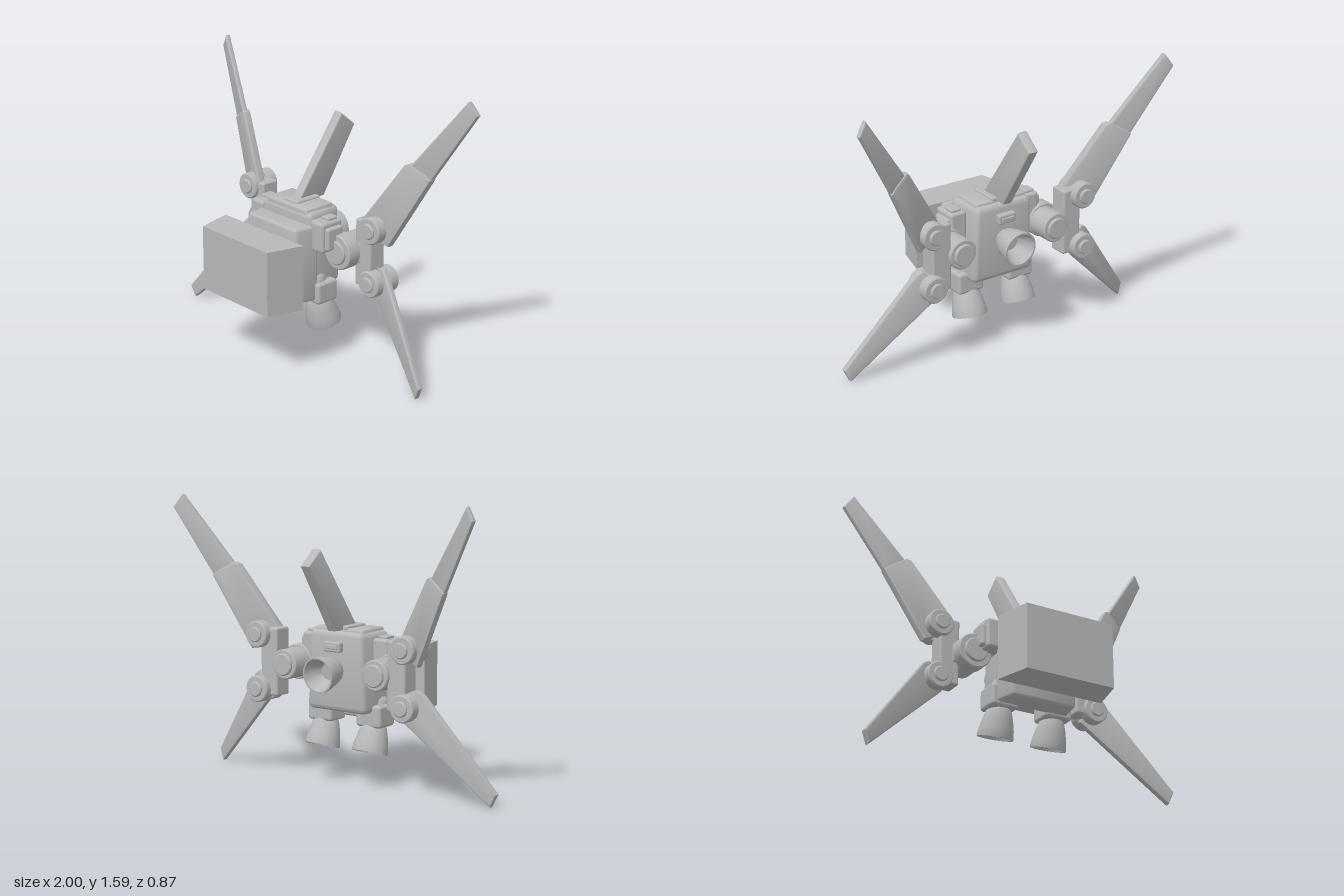
import * as THREE from 'three';
import { toCreasedNormals } from 'three/addons/utils/BufferGeometryUtils.js';
import { RoundedBoxGeometry } from 'three/addons/geometries/RoundedBoxGeometry.js';

const grey = new THREE.MeshStandardMaterial({ color: 0xb8b8b8, side: THREE.DoubleSide });
grey.name = 'light grey';

function add(parent, name, geo, x = 0, y = 0, z = 0) {
  const mesh = new THREE.Mesh(geo, grey);
  mesh.name = name;
  mesh.position.set(x, y, z);
  parent.add(mesh);
  return mesh;
}

// Move every vertex by a rule, then rebuild normals with sharp edges.
function reshape(geo, rule, crease = 0.5) {
  const p = geo.attributes.position;
  const v = new THREE.Vector3();
  for (let i = 0; i < p.count; i++) {
    rule(v.fromBufferAttribute(p, i));
    p.setXYZ(i, v.x, v.y, v.z);
  }
  return toCreasedNormals(geo, crease);
}

// Rounded block given by its limits.
function block(parent, name, [x0, x1], [y0, y1], [z0, z1], r = 0.015, rule) {
  let geo = new RoundedBoxGeometry(Math.abs(x1 - x0), y1 - y0, z1 - z0, 3, r);
  if (rule) geo = reshape(geo, rule);
  return add(parent, name, geo, (x0 + x1) / 2, (y0 + y1) / 2, (z0 + z1) / 2);
}

// Round disc along z with softened rims.
function disc(parent, name, x, y, z0, z1, r, bevel = 0.006) {
  const h = z1 - z0;
  const pts = [[0, 0], [r - bevel, 0], [r, bevel], [r, h - bevel], [r - bevel, h], [0, h]]
    .map(p => new THREE.Vector2(...p));
  const geo = toCreasedNormals(new THREE.LatheGeometry(pts, 40), 0.5);
  geo.rotateX(Math.PI / 2);
  return add(parent, name, geo, x, y, z0);
}

// Flat blade drawn from the front, swept in depth by a slope along x.
function blade(parent, name, s, outline, thick, z0, slope) {
  const shape = new THREE.Shape(outline.map(([x, y]) => new THREE.Vector2(s * x, y)));
  const b = 0.01;
  const geo = new THREE.ExtrudeGeometry(shape, {
    depth: thick - 2 * b, bevelThickness: b, bevelSize: b, bevelOffset: -b, bevelSegments: 2,
  });
  geo.translate(0, 0, b - thick / 2);
  return add(parent, name, reshape(geo, v => { v.z += z0 + slope * Math.abs(v.x); }, 0.4));
}

// Hollow engine bell: the rim is at y = 0 and the neck is above it.
function nozzle(parent, name, x, y, z, tilt, len) {
  const pts = [[0, 0.6], [0.045, 0.6], [0.078, 0.25], [0.09, 0], [0.099, 0], [0.1, 0.06], [0.094, 0.3],
    [0.082, 0.62], [0.07, 0.85], [0.055, 1], [0, 1]].map(([r, h]) => new THREE.Vector2(r, h * len));
  const mesh = add(parent, name, toCreasedNormals(new THREE.LatheGeometry(pts, 40), 0.6), x, y, z);
  mesh.rotation.x = tilt;
}

export function createModel() {
  const model = new THREE.Group();
  model.name = 'wingedBackpack';

  // Separate mounting block in front, narrower towards +z
  const mount = new THREE.BoxGeometry(0.64, 0.37, 0.21).toNonIndexed();
  add(model, 'mountingBlock', reshape(mount, v => { if (v.z > 0) v.x *= 0.83; }), 0, 0.58, 0.33);

  // Torso
  const body = new THREE.Group();
  body.name = 'body';
  model.add(body);
  block(body, 'torso', [-0.215, 0.215], [0.42, 0.865], [-0.185, 0.065], 0.03, v => {
    const back = (0.125 - v.z) / 0.25;
    const top = Math.max(0, (v.y - 0.1) / 0.12);
    v.x *= 1 - 0.1 * back - 0.1 * top;
    if (v.z < 0) v.z *= 1 - 0.12 * top - 0.15 * Math.max(0, -v.y / 0.22);
  });
  block(body, 'topCap', [-0.18, 0.18], [0.79, 0.882], [-0.14, 0.06], 0.015, v => {
    if (v.y > 0) v.x *= 0.92;
  });
  block(body, 'chest', [-0.22, 0.22], [0.36, 0.8], [0.02, 0.168], 0.02, v => {
    if (v.z > 0) v.x *= 0.9;
  });
  block(body, 'finBase', [-0.06, 0.06], [0.87, 0.895], [-0.14, 0.03], 0.01);
  block(body, 'rearVent', [-0.055, 0.055], [0.755, 0.81], [-0.205, -0.15], 0.008);
  block(body, 'rearVentSlot', [-0.04, 0.04], [0.772, 0.793], [-0.212, -0.2], 0.004);

  // Swept-back dorsal fin, extruded sideways
  const finShape = new THREE.Shape([[0, 0.87], [0.2, 0.87], [0.435, 1.24], [0.33, 1.325]]
    .map(p => new THREE.Vector2(...p)));
  const finGeo = new THREE.ExtrudeGeometry(finShape, {
    depth: 0.04, bevelThickness: 0.01, bevelSize: 0.01, bevelOffset: -0.01, bevelSegments: 2,
  });
  finGeo.translate(0, 0, -0.02);
  finGeo.rotateY(Math.PI / 2);
  add(model, 'dorsalFin', toCreasedNormals(finGeo, 0.4));

  // Rear engine
  nozzle(model, 'rearNozzle', 0, 0.643, -0.328, Math.PI / 2 - 0.08, 0.16);

  for (const s of [1, -1]) {
    const side = new THREE.Group();
    side.name = s > 0 ? 'leftSide' : 'rightSide';
    model.add(side);

    // Shoulder pad and hip with its engine
    block(side, 'shoulderPad', [s * 0.19, s * 0.292], [0.66, 0.835], [-0.09, 0.062], 0.018);
    block(side, 'padFront', [s * 0.2, s * 0.315], [0.675, 0.805], [-0.075, 0.04], 0.015);
    block(side, 'padTopPlate', [s * 0.215, s * 0.275], [0.83, 0.85], [-0.07, 0.0], 0.008);
    block(side, 'hip', [s * 0.085, s * 0.25], [0.34, 0.465], [-0.1, 0.045], 0.018);
    const joint = add(side, 'hipJoint', new THREE.SphereGeometry(0.07, 32, 20), s * 0.165, 0.46, 0);
    joint.scale.set(0.9, 0.85, 1);
    nozzle(side, 'lowerNozzle', s * 0.165, 0.197, -0.077, 0.31, 0.17);

    // Shoulder pivot
    disc(side, 'shoulderDisc', s * 0.32, 0.66, -0.105, -0.02, 0.1);
    disc(side, 'shoulderDiscCap', s * 0.32, 0.66, -0.03, -0.004, 0.068);
    disc(side, 'shoulderPivot', s * 0.31, 0.66, -0.235, -0.1, 0.085);
    disc(side, 'shoulderPivotCap', s * 0.31, 0.66, -0.252, -0.23, 0.062);

    // Bracket that joins both wing hinges
    block(side, 'wingBracket', [s * 0.375, s * 0.492], [0.47, 0.855], [-0.215, -0.105], 0.012);
    block(side, 'bracketArm', [s * 0.29, s * 0.42], [0.6, 0.72], [-0.2, -0.1], 0.012);
    for (const y of [0.815, 0.505]) {
      disc(side, 'hingeFront', s * 0.495, y, -0.15, -0.085, 0.075);
      disc(side, 'hingeFrontCap', s * 0.495, y, -0.09, -0.072, 0.043);
      disc(side, 'hingeCore', s * 0.495, y, -0.2, -0.14, 0.055);
      disc(side, 'hingeRear', s * 0.495, y, -0.255, -0.19, 0.075);
      disc(side, 'hingeRearCap', s * 0.495, y, -0.27, -0.25, 0.043);
    }

    // Upper wing: thick sleeve and longer blade
    blade(side, 'upperWingSleeve', s, [[0.405, 0.82], [0.52, 0.74], [0.565, 0.725],
      [0.78, 1.135], [0.755, 1.16], [0.665, 1.21], [0.64, 1.2], [0.41, 0.845]], 0.052, 0.035, -0.39);
    blade(side, 'upperWingBlade', s, [[0.58, 1.08], [0.7, 1.0], [1.0, 1.515], [0.95, 1.585]],
      0.036, 0.035, -0.39);

    // Lower wing
    blade(side, 'lowerWing', s, [[0.44, 0.45], [0.925, 0], [0.955, 0.07], [0.575, 0.575],
      [0.535, 0.6], [0.47, 0.57]], 0.04, -0.335, 0.32);
  }
  return model;
}
